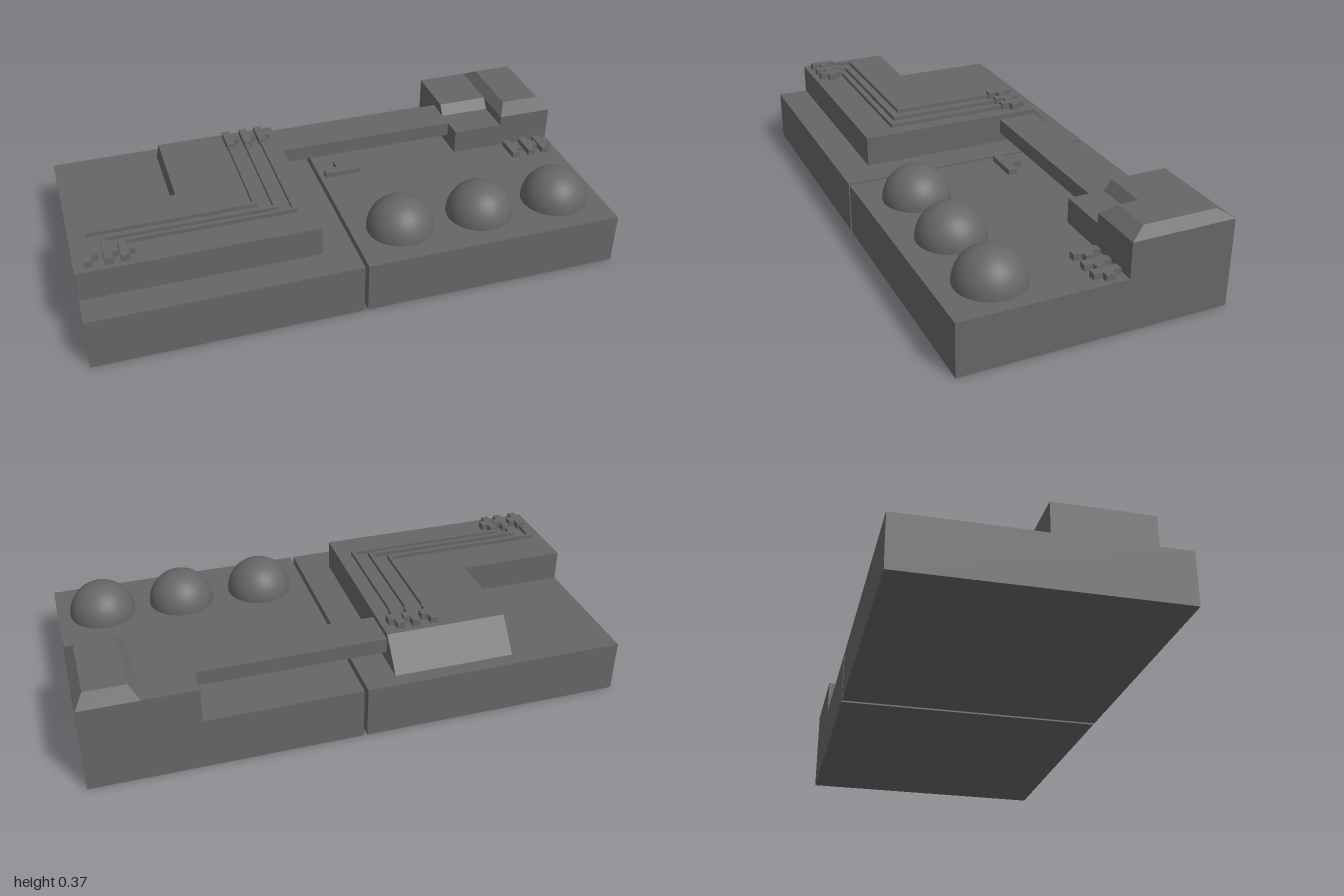
import * as THREE from 'three';

export function createModel() {
  const model = new THREE.Group();
  const grey = new THREE.MeshStandardMaterial({ color: 0x666666 });
  grey.name = 'grey';

  const add = (name, geometry, parent = model) => {
    const mesh = new THREE.Mesh(geometry, grey);
    mesh.name = name;
    parent.add(mesh);
    return mesh;
  };
  // Box given by its limits on each axis
  const block = (name, x0, x1, y0, y1, z0, z1, parent) =>
    add(name, new THREE.BoxGeometry(x1 - x0, y1 - y0, z1 - z0), parent)
      .position.set((x0 + x1) / 2, (y0 + y1) / 2, (z0 + z1) / 2);
  const shapeOf = (points) => new THREE.Shape(points.map(([a, b]) => new THREE.Vector2(a, b)));
  // Floor plan of [x, z] points, raised from y0 to y1
  const plan = (name, points, y0, y1, parent) => {
    const g = new THREE.ExtrudeGeometry(shapeOf(points.map(([x, z]) => [x, -z])),
      { depth: y1 - y0, bevelEnabled: false });
    g.rotateX(-Math.PI / 2).translate(0, y0, 0);
    return add(name, g, parent);
  };
  // Side profile of [z, y] points, carried from x0 to x1
  const profile = (name, points, x0, x1) => {
    const g = new THREE.ExtrudeGeometry(shapeOf(points.map(([z, y]) => [-z, y])),
      { depth: x1 - x0, bevelEnabled: false });
    g.rotateY(Math.PI / 2).translate(x0, 0, 0);
    return add(name, g);
  };

  // Two base slabs with a narrow gap
  block('rightBase', -1, -0.008, 0, 0.2, -0.5, 0.495);
  block('leftBase', 0.006, 1, 0, 0.2, -0.5, 0.495);

  // Raised L-shaped deck with a sloped back end
  plan('raisedDeck', [[-1, 0.375], [-0.13, 0.375], [-0.13, -0.345],
    [-0.59, -0.345], [-0.59, 0.015], [-1, 0.015]], 0.2, 0.315);
  profile('deckRamp', [[-0.445, 0.2], [-0.345, 0.2], [-0.345, 0.315]], -0.59, -0.13);

  // Bridge bar between the deck and the corner housing
  block('bridgeBar', -0.13, 0.59, 0.238, 0.295, -0.345, -0.19);

  // Stepped housing at the back corner
  profile('steppedHousing', [[-0.5, 0.2], [-0.11, 0.2], [-0.11, 0.295],
    [-0.25, 0.295], [-0.28, 0.333], [-0.5, 0.333]], 0.587, 0.785);
  block('cornerTower', 0.785, 1, 0.2, 0.333, -0.5, -0.11);

  // Tower cap with tapered sides
  const cap = new THREE.BoxGeometry(0.215, 0.035, 0.39);
  const pos = cap.attributes.position;
  for (let i = 0; i < pos.count; i++) {
    if (pos.getY(i) > 0) {
      pos.setX(i, pos.getX(i) - Math.sign(pos.getX(i)) * 0.032);
      pos.setZ(i, pos.getZ(i) - Math.sign(pos.getZ(i)) * 0.055);
    }
  }
  const capFlat = cap.toNonIndexed();
  capFlat.computeVertexNormals();
  add('towerCap', capFlat).position.set(0.8925, 0.3505, -0.305);

  // Three domes
  for (const x of [0.193, 0.513, 0.826]) {
    add('dome', new THREE.SphereGeometry(0.126, 40, 16, 0, Math.PI * 2, 0, Math.PI / 2))
      .position.set(x, 0.2, 0.3);
  }

  // Connector pins: a stem with a short side arm
  const pins = (name, xs, z0, y0, y1) => {
    const group = new THREE.Group();
    group.name = name;
    for (const x of xs) {
      plan('pin', [[x, z0], [x + 0.03, z0], [x + 0.03, z0 + 0.033], [x + 0.053, z0 + 0.033],
        [x + 0.053, z0 + 0.067], [x + 0.03, z0 + 0.067], [x + 0.03, z0 + 0.1], [x, z0 + 0.1]]
        .reverse(), y0, y1, group);
    }
    model.add(group);
  };
  pins('backPins', [-0.337, -0.268, -0.208], -0.323, 0.315, 0.34);
  pins('frontPins', [-0.962, -0.893, -0.837], 0.253, 0.315, 0.34);
  pins('towerPins', [0.8, 0.87, 0.93], -0.1, 0.2, 0.223);

  // Raised tracks joining the two deck pin rows
  for (const [xr, zm, xl] of [[-0.325, 0.172, -0.948], [-0.258, 0.213, -0.882], [-0.195, 0.247, -0.822]]) {
    const w = 0.008;
    plan('track', [[xr + w, -0.225], [xr - w, -0.225], [xr - w, zm - w], [xl - w, zm - w],
      [xl - w, 0.262], [xl + w, 0.262], [xl + w, zm + w], [xr + w, zm + w]], 0.315, 0.33);
  }

  // Small T-shaped tab
  plan('teeTab', [[0.027, -0.085], [0.17, -0.085], [0.17, -0.12], [0.118, -0.12],
    [0.118, -0.165], [0.08, -0.165], [0.08, -0.12], [0.027, -0.12]], 0.2, 0.222);

  return model;
}
